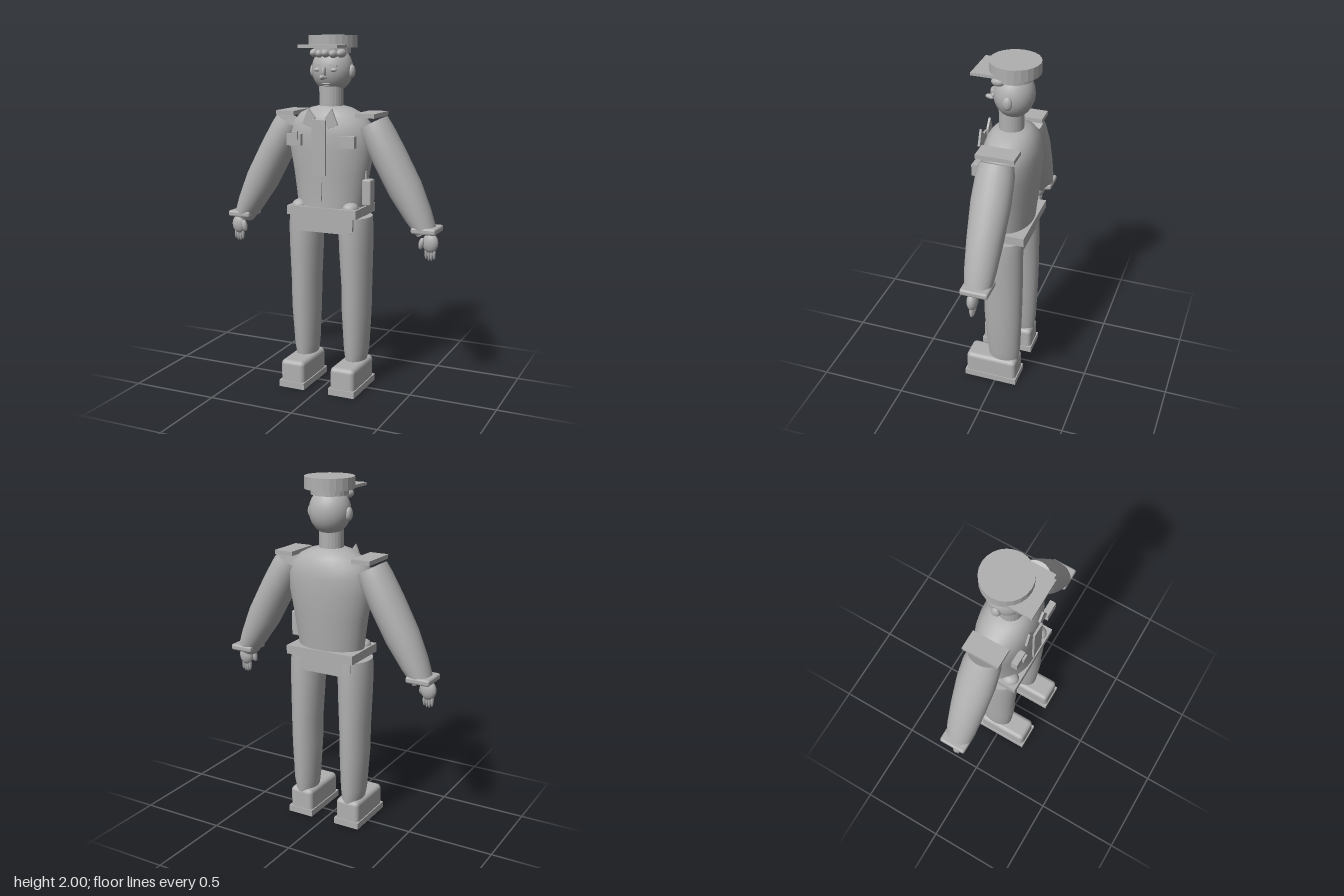
import * as THREE from 'three';
import { RoundedBoxGeometry } from 'three/addons/geometries/RoundedBoxGeometry.js';

export function createModel() {
  const model = new THREE.Group();
  const grey = new THREE.MeshStandardMaterial({ color: 0xb0b0b0 });
  grey.name = 'plain grey';

  const add = (name, geometry, x = 0, y = 0, z = 0) => {
    const mesh = new THREE.Mesh(geometry, grey);
    mesh.name = name;
    mesh.position.set(x, y, z);
    model.add(mesh);
    return mesh;
  };
  const box = (name, w, h, d, x, y, z) => add(name, new THREE.BoxGeometry(w, h, d), x, y, z);
  const ball = (name, rx, ry, rz, x, y, z, n = 16) =>
    add(name, new THREE.SphereGeometry(1, n, n).scale(rx, ry, rz), x, y, z);
  const drum = (name, r, h, x, y, z) => {
    const g = new THREE.CylinderGeometry(r, r, h, 24).toNonIndexed();
    g.computeVertexNormals();
    return add(name, g, x, y, z);
  };

  // Smooth oval loft, bottom to top; sections are [y, rx, rz, cx, cz], with flat ends
  const loft = (sections, n = 24) => {
    const pos = [], index = [];
    const ring = ([y, rx, rz, cx, cz]) => {
      for (let i = 0; i < n; i++) {
        const a = (i / n) * Math.PI * 2;
        pos.push(cx + rx * Math.sin(a), y, cz + rz * Math.cos(a));
      }
    };
    sections.forEach(ring);
    for (let k = 0; k < sections.length - 1; k++) {
      for (let i = 0; i < n; i++) {
        const j = (i + 1) % n, a = k * n, b = a + n;
        index.push(a + i, a + j, b + j, a + i, b + j, b + i);
      }
    }
    for (const top of [false, true]) {
      const start = pos.length / 3;
      ring(sections[top ? sections.length - 1 : 0]);
      for (let i = 1; i < n - 1; i++) {
        index.push(start, start + (top ? i : i + 1), start + (top ? i + 1 : i));
      }
    }
    const g = new THREE.BufferGeometry();
    g.setAttribute('position', new THREE.Float32BufferAttribute(pos, 3));
    g.setIndex(index);
    g.computeVertexNormals();
    return g;
  };

  // Thin plate from outline points
  const plate = (name, points, depth, z) => {
    const shape = new THREE.Shape(points.map(([x, y]) => new THREE.Vector2(x, y)));
    return add(name, new THREE.ExtrudeGeometry(shape, { depth, bevelEnabled: false }), 0, 0, z);
  };

  // Torso, belt and hips
  add('torso', loft([
    [1.04, 0.195, 0.135, 0, -0.02], [1.12, 0.205, 0.138, 0, -0.025],
    [1.25, 0.225, 0.147, 0, -0.03], [1.38, 0.25, 0.155, 0, -0.032],
    [1.47, 0.25, 0.154, 0, -0.032], [1.53, 0.226, 0.145, 0, -0.032],
    [1.575, 0.18, 0.125, 0, -0.03], [1.605, 0.12, 0.1, 0, -0.028],
    [1.617, 0.07, 0.07, 0, -0.025],
  ], 28));
  box('belt', 0.42, 0.05, 0.285, 0, 1.035, -0.023);
  const hipShape = [[-0.185, 1.01], [-0.185, 0.94], [-0.165, 0.918],
    [0.165, 0.918], [0.185, 0.94], [0.185, 1.01]];
  plate('hips', hipShape, 0.24, -0.135);

  // Shirt front
  box('placket', 0.08, 0.305, 0.012, -0.003, 1.397, 0.136);
  box('fly', 0.008, 0.11, 0.01, 0, 1.15, 0.117);
  box('badge', 0.034, 0.045, 0.012, -0.145, 1.46, 0.143);
  for (const s of [1, -1]) {
    plate('collar', [[s * 0.07, 1.612], [s * 0.105, 1.525], [s * 0.045, 1.502],
      [s * 0.03, 1.56]], 0.012, 0.118);
    box('pocket', 0.085, 0.065, 0.035, s * 0.16, 1.434, 0.113);
  }
  add('radio', new RoundedBoxGeometry(0.052, 0.145, 0.065, 2, 0.008), 0.235, 1.148, 0);
  box('radioAntenna', 0.01, 0.05, 0.01, 0.222, 1.24, 0);

  for (const s of [1, -1]) {
    // Arms
    const arm = add('arm', loft([
      [-0.663, 0.056, 0.073, 0, 0], [-0.56, 0.077, 0.086, 0, 0],
      [-0.4, 0.096, 0.098, 0, 0], [-0.2, 0.096, 0.108, 0, 0],
      [-0.06, 0.093, 0.103, 0, 0], [0, 0.088, 0.092, 0, 0],
    ]), s * 0.25, 1.526, -0.03);
    arm.rotation.z = s * 0.503;
    box('epaulette', 0.11, 0.024, 0.212, s * 0.24, 1.575, -0.031);
    add('cuff', new RoundedBoxGeometry(0.14, 0.036, 0.155, 2, 0.012), s * 0.57, 0.962, -0.032);

    // Hands
    ball('palm', 0.045, 0.055, 0.03, s * 0.597, 0.892, -0.013);
    const thumb = ball('thumb', 0.016, 0.034, 0.018, s * 0.552, 0.888, 0.005, 10);
    thumb.rotation.z = -s * 0.2;
    for (let i = 0; i < 4; i++) {
      ball('finger', 0.0085, 0.037, 0.012, s * (0.574 + i * 0.0155),
        i % 3 ? 0.828 : 0.836, -0.013, 8);
    }

    // Legs
    add('leg', loft([
      [0.14, 0.056, 0.088, s * 0.155, -0.035], [0.22, 0.069, 0.098, s * 0.157, -0.035],
      [0.45, 0.081, 0.111, s * 0.158, -0.03], [0.6, 0.083, 0.114, s * 0.158, -0.03],
      [0.8, 0.092, 0.119, s * 0.155, -0.025], [0.93, 0.095, 0.121, s * 0.154, -0.022],
      [1.005, 0.09, 0.117, s * 0.154, -0.022],
    ]));
    ball('beltBulge', 0.045, 0.035, 0.05, s * 0.155, 1.058, 0.06);

    // Shoes
    add('shoeUpper', new RoundedBoxGeometry(0.146, 0.15, 0.308, 3, 0.026), s * 0.155, 0.086, 0.03);
    box('sole', 0.158, 0.038, 0.32, s * 0.155, 0.019, 0.03);
  }

  // Neck and head
  drum('neck', 0.068, 0.13, 0, 1.66, -0.025);
  ball('head', 0.116, 0.128, 0.11, 0, 1.815, -0.04, 28);
  drum('hairBand', 0.103, 0.035, 0, 1.92, -0.04);
  for (let i = -2; i <= 2; i++) {
    ball('fringeCurl', 0.025, 0.024, 0.038, i * 0.04, 1.904 - (i % 2 ? 0.003 : 0),
      0.045 - Math.abs(i) * 0.012, 12);
  }

  // Face
  for (const s of [1, -1]) {
    ball('ear', 0.018, 0.037, 0.026, s * 0.117, 1.805, -0.04);
    ball('eye', 0.021, 0.011, 0.012, s * 0.048, 1.815, 0.057, 12);
    const brow = box('eyebrow', 0.04, 0.007, 0.016, s * 0.048, 1.839, 0.057);
    brow.rotation.z = -s * 0.12;
    ball('nostril', 0.01, 0.009, 0.015, s * 0.011, 1.775, 0.085, 10);
  }
  ball('noseBridge', 0.012, 0.034, 0.02, 0, 1.802, 0.073, 12);
  ball('noseTip', 0.015, 0.014, 0.026, 0, 1.776, 0.094, 12);
  ball('upperLip', 0.026, 0.006, 0.014, 0, 1.739, 0.045, 10);
  ball('lowerLip', 0.019, 0.006, 0.014, 0, 1.73, 0.042, 10);

  // Cap
  drum('capCrown', 0.136, 0.066, 0, 1.967, -0.045);
  box('capBrim', 0.232, 0.016, 0.2, 0, 1.942, 0.058);

  return model;
}
